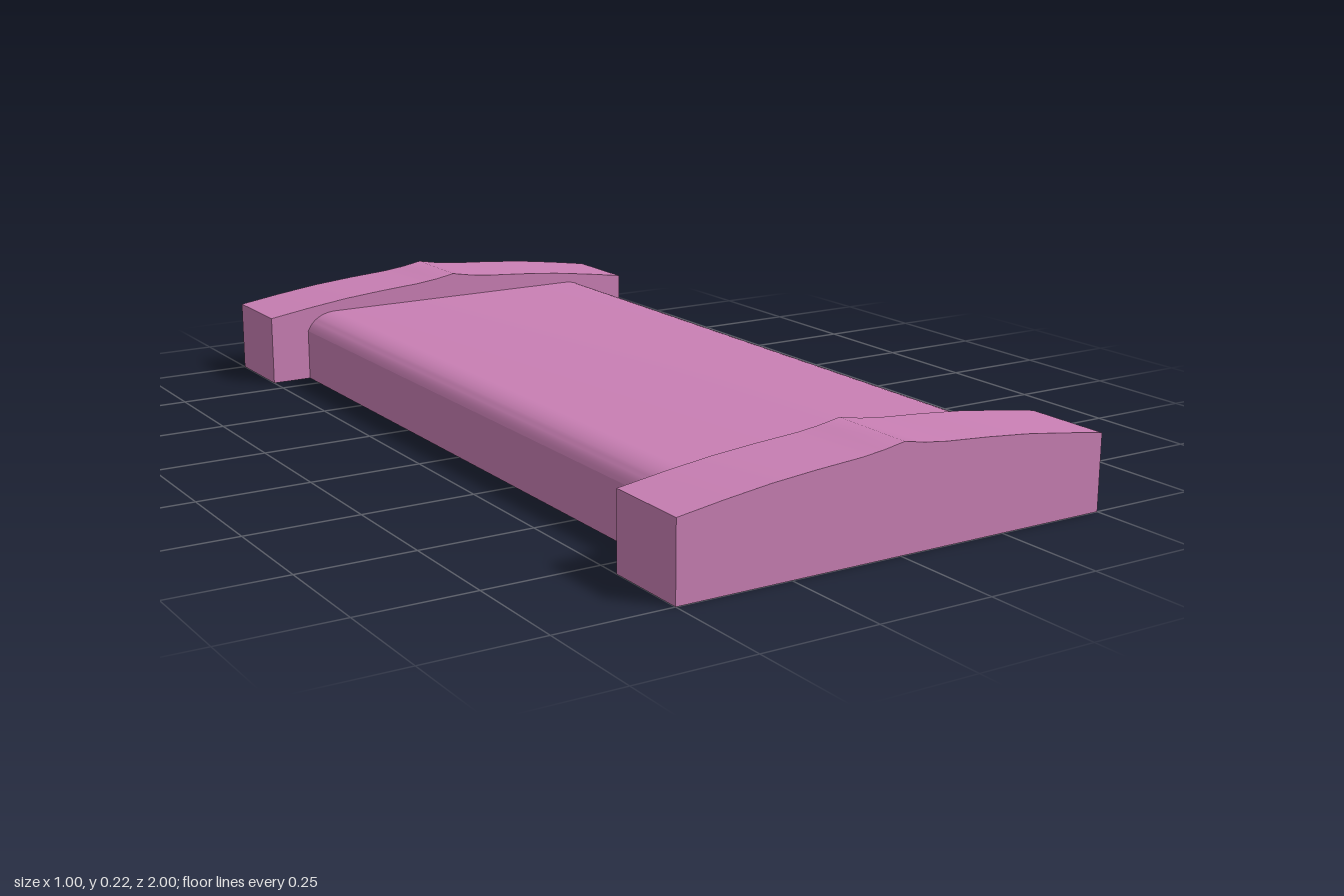
import * as THREE from 'three';
import { toCreasedNormals } from 'three/addons/utils/BufferGeometryUtils.js';

const HALF_LENGTH = 1, BODY_HALF = 0.805;

// Extrudes a front outline from z0 to z1, smooth on top and sharp at the corners
function slab(name, shape, z0, z1, material) {
  const solid = new THREE.ExtrudeGeometry(shape, { depth: z1 - z0, bevelEnabled: false, curveSegments: 10 });
  solid.translate(0, 0, z0);
  const mesh = new THREE.Mesh(toCreasedNormals(solid, 0.42), material);
  mesh.name = name;
  return mesh;
}

export function createModel() {
  const group = new THREE.Group();
  group.name = 'slab';
  const pink = new THREE.MeshStandardMaterial({ color: 0xc97fb4 });
  pink.name = 'pink';

  // Long body: flat top with rounded shoulders
  const body = new THREE.Shape();
  body.moveTo(-0.405, 0);
  body.lineTo(0.405, 0);
  body.lineTo(0.405, 0.12);
  body.quadraticCurveTo(0.385, 0.162, 0.33, 0.163);
  body.lineTo(-0.33, 0.163);
  body.quadraticCurveTo(-0.385, 0.162, -0.405, 0.12);
  body.closePath();
  group.add(slab('body', body, -BODY_HALF, BODY_HALF, pink));

  // End caps: low curved crest rising to a centre peak
  const crest = [[0.5, 0.163], [0.4, 0.178], [0.3, 0.191], [0.2, 0.2], [0.1, 0.207], [0.05, 0.213], [0, 0.222]];
  const right = crest.map(([x, y]) => new THREE.Vector2(x, y));
  const left = crest.slice(0, -1).reverse().map(([x, y]) => new THREE.Vector2(-x, y));
  const cap = new THREE.Shape([new THREE.Vector2(-0.5, 0), new THREE.Vector2(0.5, 0), ...right, ...left]);
  group.add(slab('frontCap', cap, BODY_HALF, HALF_LENGTH, pink));
  group.add(slab('backCap', cap, -HALF_LENGTH, -BODY_HALF, pink));
  return group;
}
